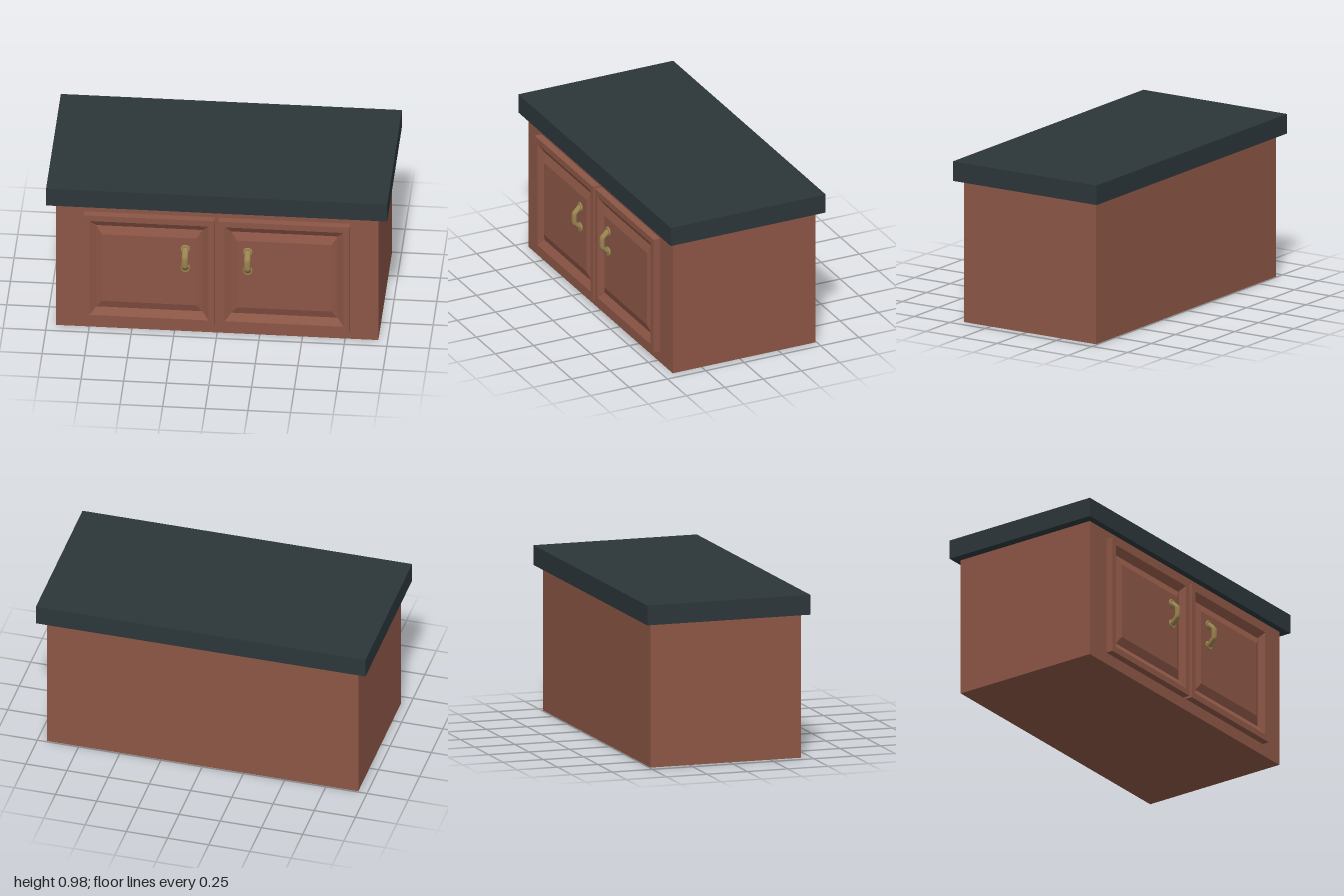
import * as THREE from 'three';

const material = (color, flatShading = false) => new THREE.MeshStandardMaterial({ color, flatShading });
const wood = material(0x8c5646, true);
const stone = material(0x2c363a, true);
const brass = material(0x9a8450);

function add(parent, name, geometry, mat, x = 0, y = 0, z = 0) {
  const mesh = new THREE.Mesh(geometry, mat);
  mesh.name = name;
  mesh.position.set(x, y, z);
  parent.add(mesh);
  return mesh;
}

// Joins nested rectangles [half width, half height, z] from back to front, closing both ends.
function steppedPanel(rings) {
  const positions = [];
  const index = [];
  for (const [w, h, z] of rings) positions.push(-w, -h, z, w, -h, z, w, h, z, -w, h, z);
  for (let r = 0; r < rings.length - 1; r++) {
    for (let i = 0; i < 4; i++) {
      const a = r * 4 + i;
      const b = r * 4 + (i + 1) % 4;
      index.push(a, b, b + 4, a, b + 4, a + 4);
    }
  }
  const e = (rings.length - 1) * 4;
  index.push(e, e + 1, e + 2, e, e + 2, e + 3, 0, 2, 1, 0, 3, 2);
  const indexed = new THREE.BufferGeometry();
  indexed.setAttribute('position', new THREE.Float32BufferAttribute(positions, 3));
  indexed.setIndex(index);
  const geometry = indexed.toNonIndexed();
  geometry.computeVertexNormals();
  return geometry;
}

// Bowed pull with a round rosette at each end
function makeHandle() {
  const handle = new THREE.Group();
  const path = new THREE.CatmullRomCurve3(
    [[-0.066, -0.005], [-0.062, 0.006], [-0.032, 0.036], [-0.014, 0.039],
      [0.014, 0.039], [0.032, 0.036], [0.062, 0.006], [0.066, -0.005]]
      .map(([y, z]) => new THREE.Vector3(0, y, z)), false, 'catmullrom', 0.25);
  const grip = add(handle, 'grip', new THREE.TubeGeometry(path, 28, 0.015, 12), brass);
  grip.scale.x = 1.3;
  for (const y of [-0.065, 0.065]) {
    const rosette = add(handle, 'rosette', new THREE.CylinderGeometry(0.026, 0.029, 0.008, 20), brass, 0, y, 0.002);
    rosette.rotation.x = Math.PI / 2;
  }
  return handle;
}

export function createModel() {
  const model = new THREE.Group();
  model.name = 'cabinet';
  add(model, 'cabinetBody', new THREE.BoxGeometry(1.89, 0.858, 0.93), wood, 0, 0.429, -0.027);
  add(model, 'countertop', new THREE.BoxGeometry(2, 0.118, 1.01), stone, 0, 0.917, -0.027);

  // Door: frame, sloped groove, then raised field
  const doorGeometry = steppedPanel([
    [0.384, 0.366, 0], [0.384, 0.366, 0.044], [0.348, 0.328, 0.044],
    [0.312, 0.284, 0.016], [0.277, 0.233, 0.034],
  ]);
  for (const side of [1, -1]) {
    const label = side > 0 ? 'left' : 'right';
    add(model, label + 'Door', doorGeometry, wood, side * 0.396, 0.438, 0.438);
    const handle = makeHandle();
    handle.name = label + 'Handle';
    handle.position.set(side * 0.183, 0.535, 0.481);
    model.add(handle);
  }
  return model;
}
